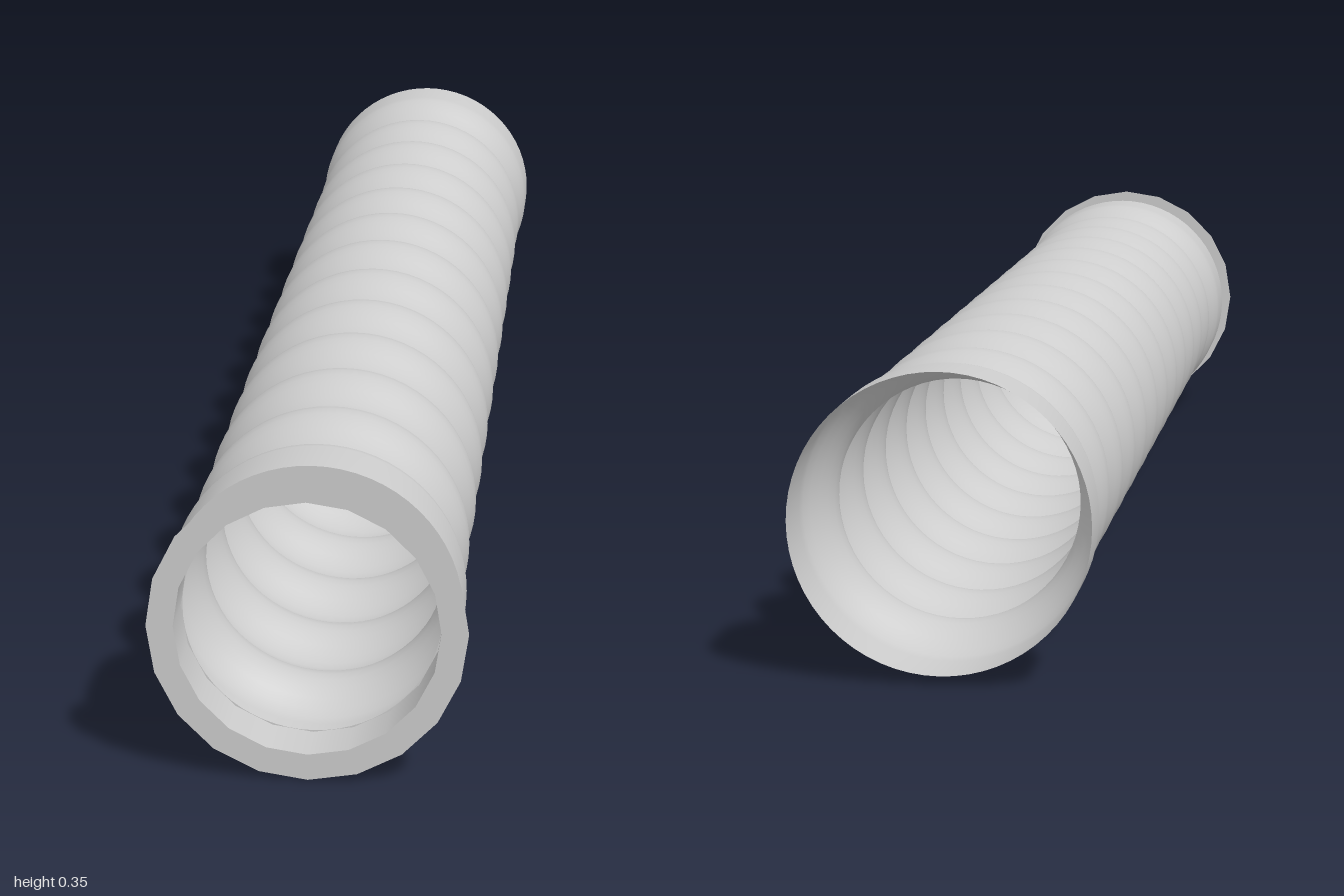
import * as THREE from 'three';

const CENTRE_Y = 0.1735;
const material = new THREE.MeshStandardMaterial({ color: 0xcccccc, side: THREE.DoubleSide });

// Revolves [radius, z] points around the hose axis
function ring(name, profile, segments) {
  const points = profile.map(([r, z]) => new THREE.Vector2(r, z));
  const geometry = new THREE.LatheGeometry(points, segments).rotateX(Math.PI / 2);
  const mesh = new THREE.Mesh(geometry, material);
  mesh.name = name;
  return mesh;
}

export function createModel() {
  const hose = new THREE.Group();
  hose.name = 'corrugatedHose';

  const sleeveR = 0.164, crestR = 0.159, troughR = 0.135;
  const firstTrough = -0.852, lastTrough = 0.794, waves = 11, steps = 12;

  // Corrugated wall: waves between the first and last trough, easing into plain sleeves
  const wall = [[sleeveR, -1], [sleeveR, -0.93]];
  const ease = (t) => (1 - Math.cos(Math.PI * t)) / 2;
  for (let i = 1; i < 6; i++) {
    const t = i / 6;
    wall.push([THREE.MathUtils.lerp(sleeveR, troughR, ease(t)), THREE.MathUtils.lerp(-0.93, firstTrough, t)]);
  }
  for (let i = 0; i <= waves * steps; i++) {
    const t = i / steps;
    const r = troughR + (crestR - troughR) * ease(2 * t);
    wall.push([r, THREE.MathUtils.lerp(firstTrough, lastTrough, t / waves)]);
  }
  for (let i = 1; i <= 6; i++) {
    const t = i / 6;
    wall.push([THREE.MathUtils.lerp(troughR, sleeveR, ease(t)), THREE.MathUtils.lerp(lastTrough, 0.87, t)]);
  }
  wall.push([sleeveR, 0.938]);
  hose.add(ring('corrugatedWall', wall, 64));

  // Front coupling: shoulder, narrow collar and thin flat flange
  hose.add(ring('shoulder', [[sleeveR, 0.938], [0.142, 0.938]], 64));
  hose.add(ring('collar', [[0.144, 0.938], [0.144, 1]], 20));
  hose.add(ring('flange', [[0.1735, 1], [0.144, 1]], 20));

  hose.position.y = CENTRE_Y;
  const model = new THREE.Group();
  model.add(hose);
  return model;
}
